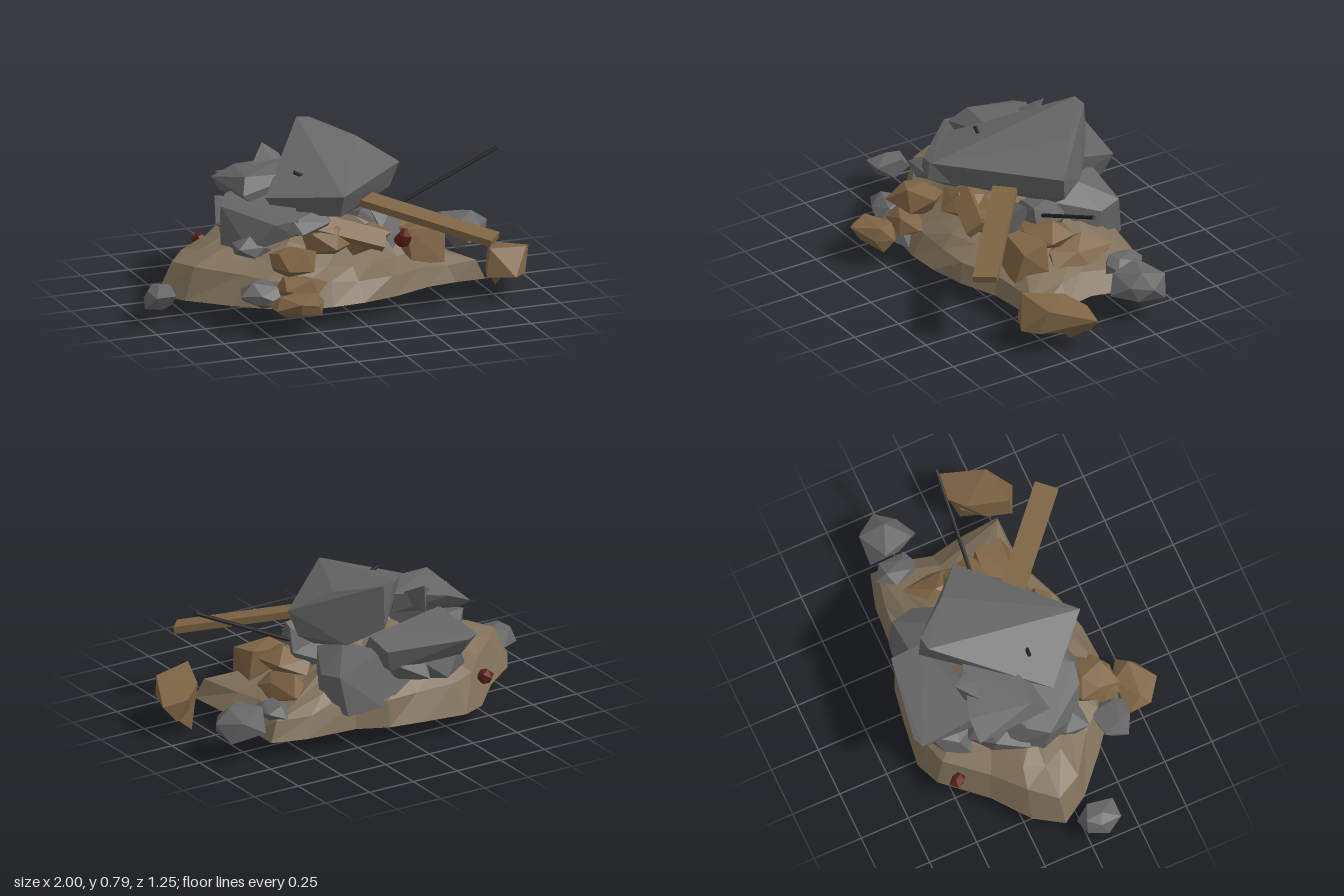
import * as THREE from 'three';
import { ConvexGeometry } from 'three/addons/geometries/ConvexGeometry.js';

const material = (color) => new THREE.MeshStandardMaterial({ color, flatShading: true, roughness: 0.9 });
const STONE = material(0x666666);
const EARTH = material(0x80705a);
const CLAY = material(0x7e6444);
const STEEL = material(0x242426);
const BRICK = material(0x5e2018);
const V = (p) => new THREE.Vector3(...p);

function random(seed) {
  let s = seed * 7919 + 17;
  return () => (s = (s * 16807) % 2147483647) / 2147483647;
}

function add(group, name, geometry, mat) {
  const mesh = new THREE.Mesh(geometry, mat);
  mesh.name = name;
  group.add(mesh);
  return mesh;
}

// Chunk given by its corner points
const hull = (group, name, points, mat) => add(group, name, new ConvexGeometry(points.map(V)), mat);

// Jagged chunk filling the box between two corners
function rock(group, name, min, max, seed, mat) {
  const rnd = random(seed);
  for (let i = 0; i < 5; i++) rnd();
  const geo = new THREE.IcosahedronGeometry(1, 0);
  const pos = geo.attributes.position;
  const turn = new THREE.Euler(rnd() * 6, rnd() * 6, rnd() * 6);
  const moved = new Map();
  const p = new THREE.Vector3();
  for (let i = 0; i < pos.count; i++) {
    p.fromBufferAttribute(pos, i);
    const key = p.toArray().map((v) => Math.round(v * 100)).join();
    if (!moved.has(key)) moved.set(key, p.clone().multiplyScalar(0.6 + 0.6 * rnd()).applyEuler(turn));
    p.copy(moved.get(key));
    pos.setXYZ(i, p.x, p.y, p.z);
  }
  // Fit the chunk to its box
  geo.computeBoundingBox();
  const size = geo.boundingBox.getSize(new THREE.Vector3());
  geo.translate(...geo.boundingBox.min.clone().negate().toArray());
  geo.scale(...[0, 1, 2].map((k) => (max[k] - min[k]) / size.getComponent(k)));
  geo.translate(...min);
  return add(group, name, geo, mat);
}

// Straight bar from a to b
function rod(group, name, a, b) {
  const dir = V(b).sub(V(a));
  const mesh = add(group, name, new THREE.CylinderGeometry(0.01, 0.01, dir.length(), 8), STEEL);
  mesh.position.copy(V(a)).addScaledVector(dir, 0.5);
  mesh.quaternion.setFromUnitVectors(new THREE.Vector3(0, 1, 0), dir.normalize());
}

// Flat board running from a to b
function plank(group, name, a, b, width, thick, roll) {
  const dir = V(b).sub(V(a));
  const mesh = add(group, name, new THREE.BoxGeometry(width, thick, dir.length()), CLAY);
  mesh.position.copy(V(a)).addScaledVector(dir, 0.5);
  mesh.lookAt(V(b));
  mesh.rotateZ(roll);
}

// Earth heap: scaled copies of the ground outline, closed above and below
function mound(group) {
  const outline = [
    [-0.87, -0.08], [-0.78, 0.06], [-0.6, 0.22], [-0.47, 0.32], [-0.3, 0.4], [-0.15, 0.42], [0.02, 0.41],
    [0.2, 0.37], [0.4, 0.29], [0.55, 0.27], [0.7, 0.27], [0.68, 0.05], [0.65, -0.1], [0.69, -0.25],
    [0.69, -0.41], [0.52, -0.46], [0.25, -0.48], [0.1, -0.55], [-0.08, -0.58], [-0.3, -0.61],
    [-0.42, -0.56], [-0.6, -0.36], [-0.78, -0.22],
  ];
  const rings = [[1, 0], [0.91, 0.14], [0.72, 0.2], [0.48, 0.26], [0.22, 0.32]];
  const n = outline.length, cx = -0.05, cz = -0.08;
  const rnd = random(5), verts = [], index = [];
  rings.forEach(([s, h], r) => outline.forEach(([x, z]) => {
    // The left and back sides are steeper than the right and front
    const steep = THREE.MathUtils.clamp(0.8 - 0.4 * x - 0.3 * z, 0.6, 1.2);
    const k = THREE.MathUtils.lerp(1, steep, s);
    const t = r ? s + (rnd() - 0.5) * 0.08 : s;
    verts.push(cx + (x - cx) * t, 0.1 + h * k * (0.92 + 0.16 * rnd()), cz + (z - cz) * t);
  }));
  const top = verts.length / 3;
  verts.push(cx, 0.44, cz, cx, 0.1, cz);
  for (let i = 0; i < n; i++) {
    const j = (i + 1) % n;
    for (let r = 0; r < rings.length - 1; r++) {
      const a = r * n + i, b = r * n + j;
      index.push(a, b, b + n, a, b + n, a + n);
    }
    const last = (rings.length - 1) * n;
    index.push(last + i, last + j, top, j, i, top + 1);
  }
  const geo = new THREE.BufferGeometry();
  geo.setAttribute('position', new THREE.Float32BufferAttribute(verts, 3));
  geo.setIndex(index);
  geo.computeVertexNormals();
  add(group, 'earthMound', geo, EARTH);
}

export function createModel() {
  const g = new THREE.Group();
  g.name = 'rubblePile';
  mound(g);

  // Large tilted block on top
  hull(g, 'topBlock', [
    [-0.07, 0.63, 0.36], [-0.05, 0.5, 0.26], [-0.37, 0.58, 0.08], [-0.3, 0.48, 0.05], [-0.01, 0.8, -0.42],
    [0.06, 0.79, -0.43], [0.23, 0.73, -0.24], [0.4, 0.62, -0.1], [0.36, 0.49, -0.13], [0.27, 0.43, -0.13],
    [0.06, 0.57, -0.44], [-0.13, 0.68, -0.25], [0.2, 0.47, -0.32],
  ], STONE);
  // Slab sticking out at the back
  hull(g, 'backSlab', [
    [-0.36, 0.51, -0.61], [-0.3, 0.5, -0.63], [0.12, 0.5, -0.56], [0.12, 0.53, -0.4], [-0.34, 0.55, -0.3],
    [-0.3, 0.4, -0.56], [0.08, 0.38, -0.52], [0.1, 0.4, -0.3], [-0.34, 0.42, -0.3],
  ], STONE);
  // Heavy boulder at the back left corner
  hull(g, 'backBoulder', [
    [0.08, 0.46, -0.45], [0.2, 0.48, -0.28], [0.33, 0.38, -0.46], [0.36, 0.36, -0.34], [0.26, 0.42, -0.14],
    [0.12, 0.2, -0.52], [0.3, 0.18, -0.49], [0.36, 0.2, -0.3], [-0.05, 0.3, -0.5], [0, 0.3, -0.2],
  ], STONE);
  // Pointed shard wedged under the top block
  hull(g, 'frontShard', [
    [0.17, 0.47, 0.08], [0.31, 0.48, 0.06], [0.31, 0.32, 0.15], [0.25, 0.28, 0.19], [0.2, 0.38, 0.17], [0.24, 0.36, 0],
  ], STONE);
  // Broken slabs stacked against the right side of the block
  hull(g, 'lowerSlab', [
    [-0.56, 0.53, -0.02], [-0.5, 0.56, -0.12], [-0.55, 0.32, -0.05], [-0.48, 0.34, 0.16], [-0.37, 0.48, 0.22],
    [-0.26, 0.5, 0.24], [-0.28, 0.42, 0.24], [-0.2, 0.58, 0], [-0.46, 0.36, -0.3], [-0.3, 0.58, -0.2], [-0.2, 0.38, -0.1],
  ], STONE);
  hull(g, 'upperSlab', [
    [-0.42, 0.65, -0.06], [-0.46, 0.58, 0.02], [-0.48, 0.57, -0.36], [-0.36, 0.62, -0.36], [-0.1, 0.66, -0.28],
    [-0.1, 0.64, -0.05], [-0.46, 0.52, -0.3], [-0.4, 0.52, 0], [-0.1, 0.55, -0.25],
  ], STONE);
  hull(g, 'peakShard', [
    [-0.21, 0.71, -0.37], [-0.31, 0.63, -0.26], [-0.15, 0.67, -0.3], [-0.2, 0.6, -0.17], [-0.24, 0.55, -0.33], [-0.12, 0.58, -0.2],
  ], STONE);

  // Grey rubble banked up on the right and back, and scattered around
  const stones = [
    [[-0.55, 0.28, -0.38], [-0.25, 0.5, -0.1]],
    [[-0.42, 0.24, -0.57], [-0.08, 0.45, -0.3]],
    [[-0.2, 0.25, -0.58], [0.1, 0.45, -0.25]],
    [[-0.55, 0.28, 0.0], [-0.36, 0.42, 0.2]],
    [[-0.4, 0.4, 0.08], [-0.05, 0.52, 0.27]],
    [[0.1, 0.3, -0.2], [0.38, 0.46, 0.05]],
    [[-0.61, 0.1, 0.24], [-0.38, 0.25, 0.44]],
    [[-0.42, 0.08, 0.3], [-0.2, 0.22, 0.46]],
    [[0.54, 0.17, -0.42], [0.69, 0.26, -0.2]],
    [[0.69, 0.08, -0.4], [0.93, 0.27, -0.13]],
    [[-1, 0.08, -0.03], [-0.85, 0.2, 0.17]],
    [[-0.22, 0.06, -0.08], [0.05, 0.2, 0.06]],
    [[-0.05, 0.07, -0.48], [0.2, 0.24, -0.36]],
  ];
  stones.forEach(([a, b], i) => rock(g, 'greyRubble' + (i + 1), a, b, i + 3, STONE));

  // Brown rubble along the front
  const clods = [
    [[-0.5, 0.1, 0.4], [-0.22, 0.22, 0.62]],
    [[-0.42, 0.13, 0.26], [-0.16, 0.26, 0.44]],
    [[-0.42, 0.24, 0.16], [-0.18, 0.39, 0.43]],
    [[-0.2, 0.28, 0.05], [0.06, 0.46, 0.3]],
    [[-0.02, 0.28, 0.08], [0.24, 0.42, 0.27]],
    [[0.12, 0.25, -0.18], [0.5, 0.41, 0.12]],
    [[0.33, 0.12, -0.32], [0.54, 0.32, 0.02]],
    [[0.06, 0.05, 0.06], [0.2, 0.2, 0.16]],
  ];
  clods.forEach(([a, b], i) => rock(g, 'brownRubble' + (i + 1), a, b, i + 60, CLAY));
  hull(g, 'brownBlock', [
    [0.28, 0.35, 0.04], [0.5, 0.37, 0.06], [0.52, 0.22, 0.06], [0.52, 0.35, 0.2], [0.5, 0.2, 0.24],
    [0.33, 0.37, 0.18], [0.34, 0.2, 0.22], [0.28, 0.2, 0.06],
  ], CLAY);
  // Loose block with a spike below
  hull(g, 'looseBrownBlock', [
    [0.77, 0.24, 0.13], [0.87, 0.2, 0.06], [1, 0.18, 0.08], [0.92, 0.09, 0.08], [0.8, 0.09, 0.14],
    [0.9, 0.25, 0.3], [0.88, 0.13, 0.34], [0.81, 0.13, 0.4], [0.7, 0.27, 0.33], [0.68, 0.13, 0.34], [0.72, 0.12, 0.22],
  ], CLAY);
  hull(g, 'looseBlockSpike', [
    [0.81, 0.01, 0.12], [0.74, 0.12, 0.2], [0.92, 0.1, 0.09], [0.84, 0.13, 0.24], [0.8, 0.14, 0.12],
  ], CLAY);

  // Timber boards
  plank(g, 'longPlank', [0.14, 0.515, 0.07], [0.655, 0.375, 0.51], 0.12, 0.035, 0.08);
  plank(g, 'shortPlank', [-0.2, 0.47, 0.16], [0.18, 0.35, 0.26], 0.1, 0.04, 0.7);

  // Bent-out reinforcing bars
  rod(g, 'longBar', [0.33, 0.42, -0.02], [0.86, 0.67, 0.015]);
  rod(g, 'shortBar', [-0.2, 0.675, 0.03], [-0.09, 0.62, 0.045]);

  // Red brick fragments
  rock(g, 'brickFragment1', [-0.53, 0.17, -0.53], [-0.45, 0.25, -0.44], 81, BRICK);
  rock(g, 'brickFragment2', [0.26, 0.28, 0.15], [0.34, 0.38, 0.23], 82, BRICK);
  return g;
}
